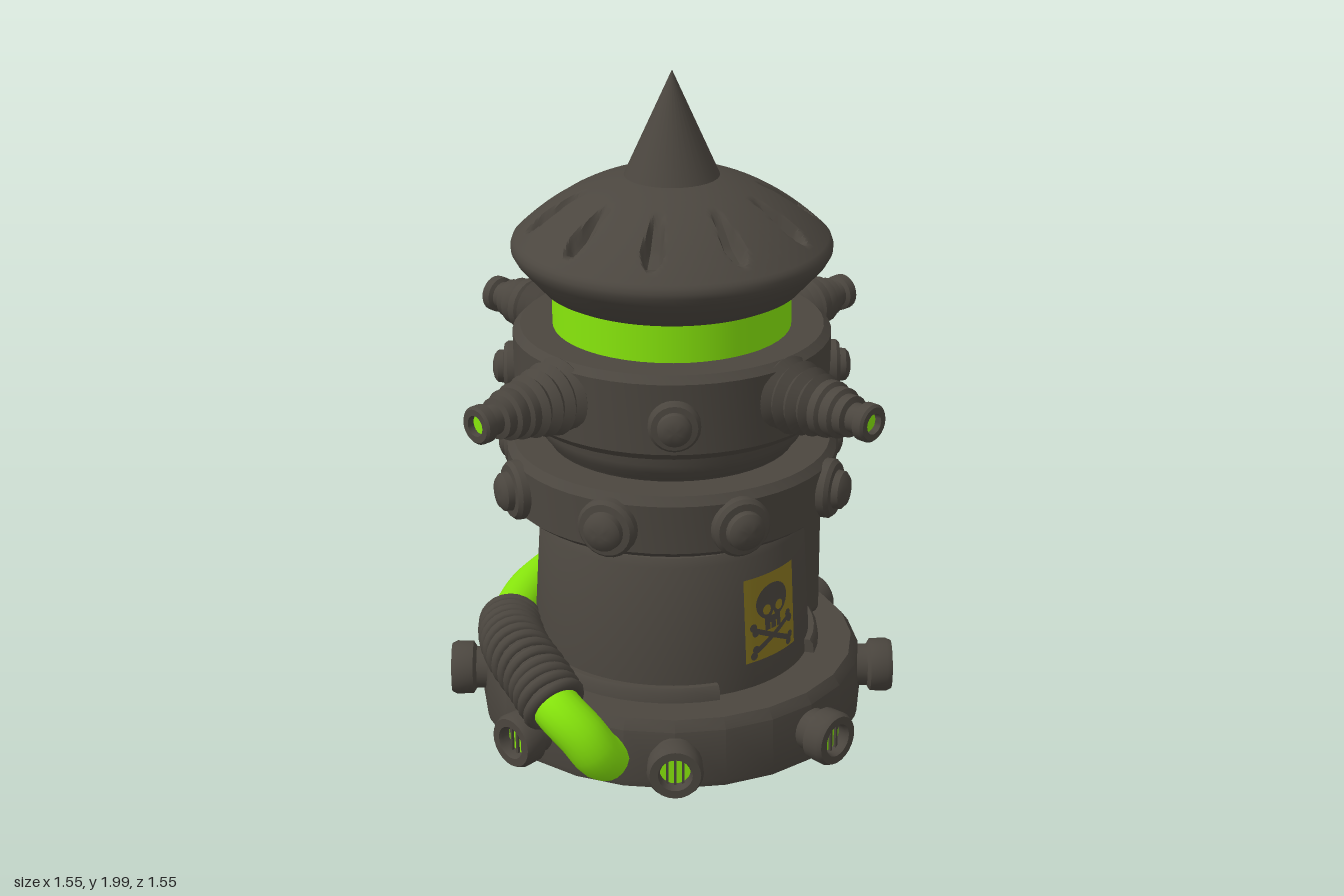
import * as THREE from 'three';
import { toCreasedNormals } from 'three/addons/utils/BufferGeometryUtils.js';
import { RoundedBoxGeometry } from 'three/addons/geometries/RoundedBoxGeometry.js';

const mat = (name, color) => {
  const m = new THREE.MeshStandardMaterial({ color });
  m.name = name;
  return m;
};
const vec2 = pts => pts.map(p => new THREE.Vector2(...p));

export function createModel() {
  const iron = mat('darkIron', 0x4b463f);
  const slime = mat('slimeGreen', 0x88e80c);
  const paint = mat('signYellow', 0x8a7820);
  const root = new THREE.Group();
  root.name = 'toxicTower';

  const add = (name, geo, material = iron, parent = root) => {
    const mesh = new THREE.Mesh(geo, material);
    mesh.name = name;
    parent.add(mesh);
    return mesh;
  };
  const lathe = (pts, seg = 48) => toCreasedNormals(new THREE.LatheGeometry(vec2(pts), seg), 0.6);
  // Turned part whose axis points outward along +z
  const outward = (pts, seg = 24) => lathe(pts, seg).rotateX(Math.PI / 2);
  // Group turned to an angle around the tower
  const spoke = (name, angle, y, r = 0) => {
    const turn = new THREE.Group();
    turn.name = name;
    turn.rotation.y = angle;
    const g = new THREE.Group();
    g.position.set(0, y, r);
    turn.add(g);
    root.add(turn);
    return g;
  };
  // Part swept along an arc of the body, with closed ends
  const arcPart = (name, pts, start, length) => {
    add(name, toCreasedNormals(new THREE.LatheGeometry(vec2(pts), 40, start, length), 0.6));
    const cap = new THREE.ShapeGeometry(new THREE.Shape(vec2(pts)));
    const endCap = cap.clone();
    endCap.index.array.reverse();
    endCap.computeVertexNormals();
    add(name + 'End', cap).rotation.y = start - Math.PI / 2;
    add(name + 'End', endCap).rotation.y = start + length - Math.PI / 2;
  };

  // Base skirt, hollow underneath
  add('baseRing', lathe([[0.37, 0.2], [0.54, 0.2], [0.555, 0.01], [0.575, 0.01], [0.58, 0.03], [0.572, 0.19], [0.55, 0.22], [0.4, 0.22]], 24));

  // Hollow body with a tapered wall and bevelled top
  add('body', lathe([[0, 0.6], [0.37, 0.6], [0.38, 0.2], [0.42, 0.2], [0.42, 0.22], [0.397, 0.63], [0.38, 0.655],
    [0.36, 0.66], [0.355, 0.72]], 72));
  // Foot flange, interrupted at the front, and a curved panel at the back
  arcPart('footFlange', [[0.4, 0.21], [0.45, 0.21], [0.445, 0.25], [0.435, 0.262], [0.4, 0.262]], 0.48, Math.PI * 2 - 0.96);
  arcPart('backPanel', [[0.39, 0.21], [0.44, 0.21], [0.422, 0.605], [0.41, 0.62], [0.38, 0.62]], 2.25, 1.1);

  // Rings, neck and glowing tank
  add('middleRing', lathe([[0.3, 0.7], [0.465, 0.7], [0.49, 0.72], [0.49, 0.865], [0.47, 0.89], [0.3, 0.89]]));
  add('neck', lathe([[0.36, 0.88], [0.37, 0.9], [0.39, 0.925], [0.398, 0.95], [0.4, 1.01]]));
  add('upperRing', lathe([[0.3, 0.992], [0.445, 0.992], [0.467, 1.015], [0.467, 1.225], [0.445, 1.246], [0.3, 1.246]]));
  add('glowingTank', new THREE.CylinderGeometry(0.35, 0.35, 0.15, 48), slime).position.y = 1.31;

  // Roof with ten pressed teardrop dents
  const slope = new THREE.QuadraticBezierCurve(new THREE.Vector2(0.462, 1.505), new THREE.Vector2(0.31, 1.655), new THREE.Vector2(0.13, 1.695));
  const roof = new THREE.LatheGeometry([
    ...vec2([[0, 1.37], [0.32, 1.365], [0.36, 1.36], [0.38, 1.37], [0.452, 1.45], [0.466, 1.475], [0.467, 1.49]]),
    ...slope.getPoints(36), new THREE.Vector2(0, 1.697)], 320);
  const rp = roof.attributes.position;
  for (let i = 0; i < rp.count; i++) {
    const x = rp.getX(i), y = rp.getY(i), z = rp.getZ(i), r = Math.hypot(x, z);
    const s = (r - 0.25) / 0.175;
    if (y < 1.5 || s <= 0 || s >= 1) continue;
    const step = Math.PI / 5, a = Math.atan2(z, x);
    const d = Math.abs(a - Math.round(a / step) * step) * r;
    const half = (0.014 + 0.028 * s) * Math.sqrt(Math.min(1, (1 - s) * 3.5));
    const k = Math.min(1, 1.4 * Math.max(0, 1 - (d / half) ** 2));
    rp.setY(i, y - 0.05 * k * Math.min(1, s * 2.2) * Math.min(1, (1 - s) * 3.5));
  }
  add('roof', toCreasedNormals(roof, 0.7));
  add('spire', new THREE.ConeGeometry(0.14, 0.31, 32)).position.y = 1.845;

  // Bolts on both rings
  const bolt = outward([[0.088, -0.05], [0.088, 0.0], [0.078, 0.012], [0.058, 0.014], [0.056, 0.034], [0.042, 0.046], [0.02, 0.052], [0, 0.053]]);
  for (let i = 0; i < 8; i++) add('middleBolt', bolt, iron, spoke('middleBoltMount', (i + 0.5) * Math.PI / 4, 0.79, 0.505));
  for (let i = 0; i < 4; i++) {
    add('upperBolt', bolt, iron, spoke('upperBoltMount', (i + 0.5) * Math.PI / 2, 1.105, 0.482)).scale.setScalar(0.85);
  }

  // Four ribbed nozzles
  const nozzle = outward([[0.09, 0.42], [0.112, 0.455], [0.09, 0.475], [0.108, 0.495], [0.084, 0.515], [0.1, 0.535], [0.076, 0.555],
    [0.092, 0.575], [0.07, 0.59], [0.082, 0.6], [0.082, 0.625], [0.07, 0.632], [0.073, 0.64], [0.073, 0.665], [0.06, 0.672],
    [0.06, 0.7], [0.043, 0.705], [0.043, 0.735], [0.055, 0.742], [0.055, 0.77], [0.048, 0.777], [0.03, 0.777], [0.028, 0.75]]);
  const glow = new THREE.CircleGeometry(0.031, 20);
  for (let i = 0; i < 4; i++) {
    const g = spoke('nozzleMount', i * Math.PI / 2, 1.14);
    add('nozzle', nozzle, iron, g);
    add('nozzleGlow', glow, slime, g).position.z = 0.757;
  }

  // Eight barred outlets through the base skirt
  const outlet = outward([[0, 0.47], [0.07, 0.47], [0.075, 0.48], [0.064, 0.51], [0.064, 0.6], [0.08, 0.61], [0.082, 0.66],
    [0.074, 0.676], [0.05, 0.676], [0.045, 0.666], [0.045, 0.62]]);
  const grate = new THREE.CircleGeometry(0.046, 20);
  const bar = new THREE.BoxGeometry(0.008, 0.086, 0.008);
  for (let i = 0; i < 8; i++) {
    const g = spoke('outletMount', i * Math.PI / 4, 0.11);
    add('outlet', outlet, iron, g);
    add('outletGlow', grate, slime, g).position.z = 0.64;
    for (let b = -1; b <= 1; b++) add('outletBar', bar, iron, g).position.set(b * 0.023, 0, 0.648);
  }

  // Side housing with a riveted plate and hose socket
  add('sideHousing', new RoundedBoxGeometry(0.17, 0.47, 0.51, 3, 0.03)).position.set(0.365, 0.445, -0.037);
  add('sidePlate', new RoundedBoxGeometry(0.06, 0.41, 0.38, 2, 0.01)).position.set(0.45, 0.415, -0.06);
  const rivet = new THREE.SphereGeometry(0.024, 14, 10);
  for (const y of [0.57, 0.29]) for (const s of [-1, 1]) {
    const m = add('sideRivet', rivet);
    m.position.set(0.48, y, -0.065 + s * 0.145);
    m.scale.x = 0.6;
  }
  for (const y of [0.57, 0.47]) add('backRivet', rivet, iron, spoke('backRivetMount', 3.27, y, 0.425)).scale.z = 0.6;
  const socket = lathe([[0.1, -0.03], [0.1, 0.015], [0.092, 0.035], [0.08, 0.045], [0.06, 0.045]], 28).rotateZ(-Math.PI / 2);
  add('hoseSocket', socket).position.set(0.49, 0.385, -0.045);

  // Hose wrapping round the back and down into the base
  const path = new THREE.CatmullRomCurve3([
    [0.46, 0.385, -0.04], [0.535, 0.385, -0.055], [0.572, 0.38, -0.14], [0.575, 0.36, -0.28], [0.48, 0.335, -0.39],
    [0.36, 0.315, -0.455], [0.2, 0.3, -0.495], [0.03, 0.29, -0.495], [-0.15, 0.285, -0.45], [-0.29, 0.285, -0.375],
    [-0.42, 0.295, -0.27], [-0.52, 0.305, -0.13], [-0.585, 0.29, 0.03], [-0.615, 0.25, 0.14], [-0.595, 0.19, 0.215],
    [-0.56, 0.125, 0.245], [-0.51, 0.09, 0.235]].map(p => new THREE.Vector3(...p)));
  add('hose', new THREE.TubeGeometry(path, 120, 0.072, 20), slime);
  const at = i => i / 16;
  const place = (mesh, t, axis) => {
    mesh.position.copy(path.getPoint(t));
    mesh.quaternion.setFromUnitVectors(axis, path.getTangent(t));
  };
  const Y = new THREE.Vector3(0, 1, 0), Z = new THREE.Vector3(0, 0, 1);
  const band = lathe([[0.06, -0.04], [0.087, -0.04], [0.091, -0.03], [0.091, 0.03], [0.087, 0.04], [0.06, 0.04]], 24);
  [at(3), at(6)].forEach(t => place(add('hoseBand', band), t, Y));
  // Corrugated sleeve
  const from = at(9.8), to = at(12.8), sleeve = [];
  const rib = new THREE.TorusGeometry(0.082, 0.018, 8, 24);
  for (let i = 0; i <= 12; i++) {
    const t = from + (to - from) * i / 12;
    sleeve.push(path.getPoint(t));
    place(add('sleeveRib', rib), t, Z);
  }
  add('sleeve', new THREE.TubeGeometry(new THREE.CatmullRomCurve3(sleeve), 40, 0.083, 20));

  // Hazard sign wrapped onto the body wall
  const decal = (name, geo, material, off) => {
    const p = geo.attributes.position;
    for (let i = 0; i < p.count; i++) {
      const x = p.getX(i), y = p.getY(i) + 0.433, R = 0.42 - 0.0561 * (y - 0.22) + off;
      p.setXYZ(i, R * Math.sin(x / R), y, R * Math.cos(x / R));
    }
    geo.computeVertexNormals();
    add(name, geo, material);
  };
  decal('signPlate', new THREE.PlaneGeometry(0.212, 0.265, 12, 4), paint, 0.004);
  decal('signSkull', new THREE.CircleGeometry(0.066, 28).scale(1, 0.85, 1).translate(0, 0.043, 0), iron, 0.006);
  decal('signJaw', new THREE.PlaneGeometry(0.066, 0.05, 4, 1).translate(0, -0.02, 0), iron, 0.006);
  for (const s of [-1, 1]) {
    decal('signEye', new THREE.CircleGeometry(0.016, 16).translate(s * 0.026, 0.022, 0), paint, 0.008);
    decal('signBone', new THREE.PlaneGeometry(0.16, 0.016, 12, 1).rotateZ(s * 0.45).translate(0, -0.068, 0), iron, 0.006);
    for (const e of [-1, 1]) for (const k of [-1, 1]) {
      decal('signBoneEnd', new THREE.CircleGeometry(0.013, 12).translate(e * 0.074 - k * s * e * 0.004, -0.068 + s * e * 0.036 + k * 0.009, 0), iron, 0.0065);
    }
    decal('signToothGap', new THREE.PlaneGeometry(0.005, 0.022).translate(s * 0.012, -0.034, 0), paint, 0.008);
  }
  decal('signNose', new THREE.CircleGeometry(0.009, 3).rotateZ(Math.PI / 2).translate(0, 0.003, 0), paint, 0.008);

  return root;
}
